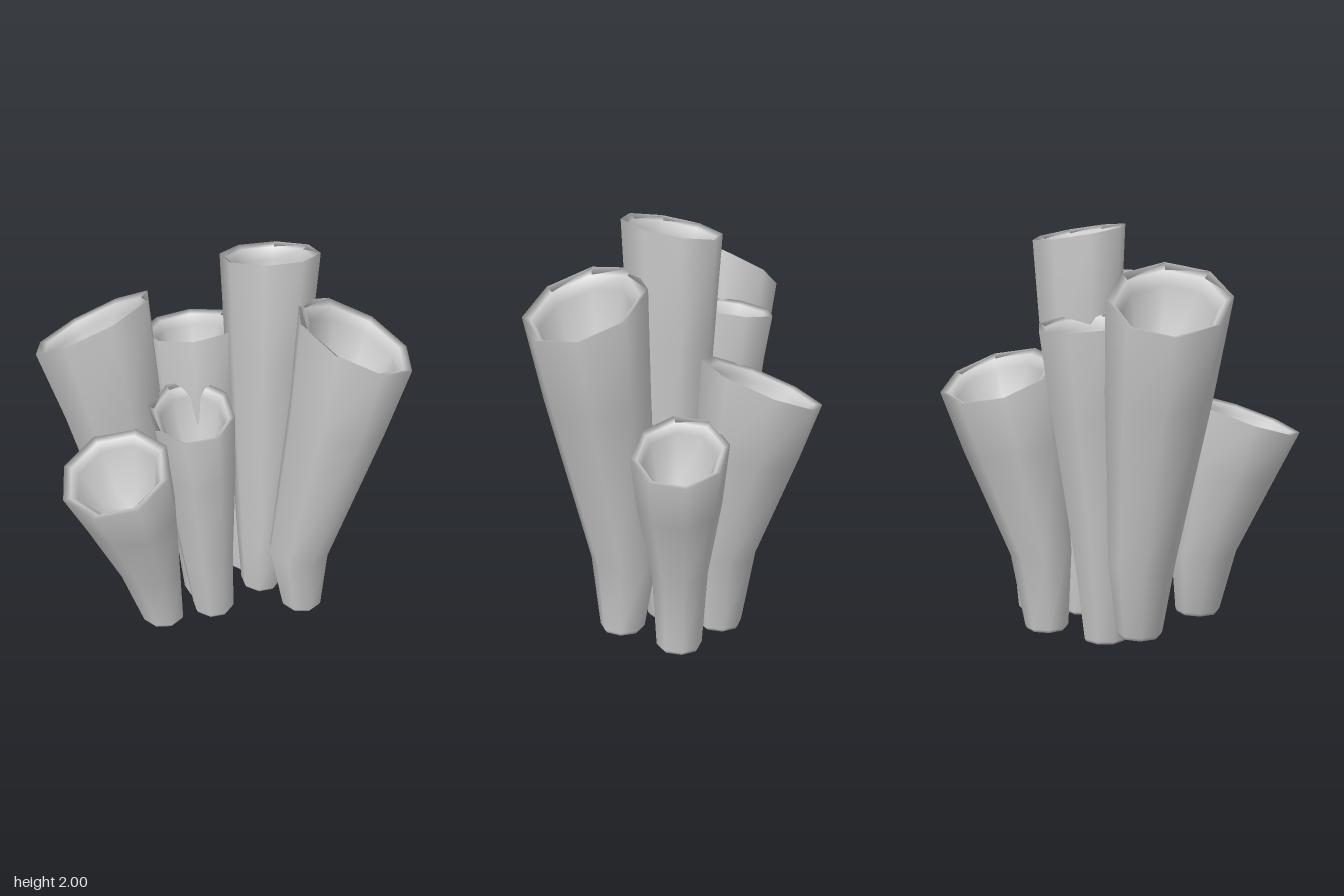
import * as THREE from 'three';

const SIDES = 8;

// base, knee and top centres, knee and rim radius, rim slope [x, z], twist in degrees
const TUBES = [
  { name: 'frontTube', base: [0, 0.15, 0.395], knee: [-0.03, 0.46, 0.44], top: [0, 1.12, 0.63], kneeR: 0.155, r: 0.258, tilt: [0.13, 0.31], twist: 11 },
  { name: 'frontRightTube', base: [-0.305, 0.09, 0.245], knee: [-0.345, 0.45, 0.28], top: [-0.415, 1.665, 0.455], kneeR: 0.155, r: 0.28, tilt: [-0.47, 0.28], twist: 12 },
  { name: 'innerFrontTube', base: [-0.01, 0.04, 0.07], knee: [-0.01, 0.43, 0.11], top: [-0.01, 1.28, 0.19], kneeR: 0.135, r: 0.205, tilt: [0.25, 0.15], twist: 0 },
  { name: 'middleRightTube', base: [-0.195, 0, -0.01], knee: [-0.215, 0.38, -0.01], top: [-0.31, 1.54, -0.035], kneeR: 0.14, r: 0.237, tilt: [-0.16, 0], twist: -11 },
  { name: 'tallTube', base: [0, 0.06, -0.245], knee: [0.01, 0.43, -0.25], top: [-0.005, 1.96, -0.262], kneeR: 0.145, r: 0.232, tilt: [-0.17, -0.08], twist: 0 },
  { name: 'leftTube', base: [0.245, 0.045, -0.32], knee: [0.23, 0.4, -0.3], top: [0.415, 1.66, -0.425], kneeR: 0.158, r: 0.277, tilt: [0.33, -0.33], twist: 15 },
  { name: 'backRightTube', base: [-0.235, 0.02, -0.32], knee: [-0.25, 0.4, -0.34], top: [-0.375, 1.28, -0.49], kneeR: 0.15, r: 0.278, tilt: [-0.4, -0.03], twist: 5 },
  { name: 'backTube', base: [0.01, 0.03, -0.53], knee: [0.01, 0.4, -0.54], top: [0.04, 1.04, -0.67], kneeR: 0.13, r: 0.22, tilt: [0.15, -0.42], twist: 5 },
];

// Skin a loop of rings: up the outside, over the rim, down into the cup
function tubeGeometry({ base, knee, top, kneeR, r, tilt, twist }) {
  const foot = new THREE.Vector3(...base);
  const bend = new THREE.Vector3(...knee);
  const mouth = new THREE.Vector3(...top);
  const along = (height, drift) => {
    const p = foot.clone().lerp(mouth, drift);
    p.y = THREE.MathUtils.lerp(foot.y, mouth.y, height);
    return p;
  };
  // centre, radius, share of the rim slope
  const rings = [
    [foot, 0.001, 0],
    [foot, 0.098, 0],
    [foot.clone().setY(foot.y + 0.015), 0.107, 0],
    [bend, kneeR, 0.1],
    [along(0.73, 0.68), 0.87 * r, 0.4],
    [mouth, r, 1],
    [along(0.99, 0.99), 0.87 * r, 1],
    [along(0.96, 0.96), 0.75 * r, 1],
    [along(0.77, 0.75), 0.52 * r, 0.4],
    [along(0.74, 0.73), 0.001, 0],
  ];
  const positions = [];
  const index = [];
  rings.forEach(([centre, radius, slope], i) => {
    for (let j = 0; j < SIDES; j++) {
      const angle = (j / SIDES) * Math.PI * 2 + THREE.MathUtils.degToRad(twist);
      const dx = Math.cos(angle) * radius;
      const dz = Math.sin(angle) * radius;
      positions.push(centre.x + dx, centre.y - slope * (tilt[0] * dx + tilt[1] * dz), centre.z + dz);
      if (i === rings.length - 1) continue;
      const a = i * SIDES + j;
      const b = i * SIDES + ((j + 1) % SIDES);
      index.push(a, a + SIDES, b, b, a + SIDES, b + SIDES);
    }
  });
  const geometry = new THREE.BufferGeometry();
  geometry.setAttribute('position', new THREE.Float32BufferAttribute(positions, 3));
  geometry.setIndex(index);
  geometry.computeVertexNormals();
  return geometry;
}

export function createModel() {
  const group = new THREE.Group();
  group.name = 'tubeCluster';
  const material = new THREE.MeshStandardMaterial({ color: 0xcccccc });
  for (const tube of TUBES) {
    const mesh = new THREE.Mesh(tubeGeometry(tube), material);
    mesh.name = tube.name;
    group.add(mesh);
  }
  return group;
}
